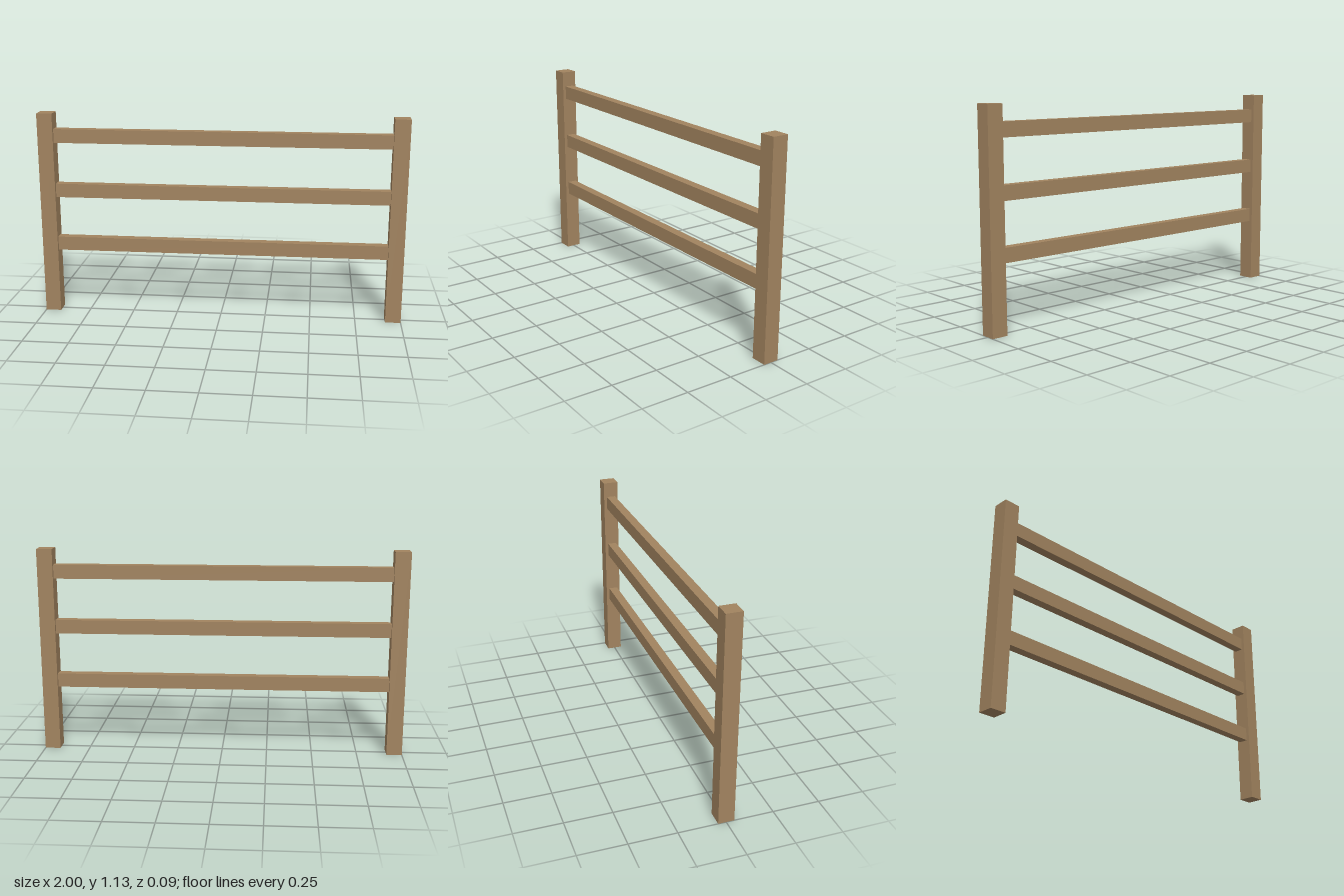
import * as THREE from 'three';

const POST = 0.085;
const POST_HEIGHT = 1.13;

export function createModel() {
  const fence = new THREE.Group();
  fence.name = 'fence';
  const wood = new THREE.MeshStandardMaterial({ color: 0xa1835f });

  const addBeam = (name, size, x, y) => {
    const beam = new THREE.Mesh(new THREE.BoxGeometry(...size), wood);
    beam.name = name;
    beam.position.set(x, y, 0);
    fence.add(beam);
  };

  // Square end posts
  for (const [name, side] of [['leftPost', 1], ['rightPost', -1]]) {
    addBeam(name, [POST, POST_HEIGHT, POST], side * (1 - POST / 2), POST_HEIGHT / 2);
  }

  // Horizontal rails spanning between the posts
  const rails = [['bottomRail', 0.395], ['middleRail', 0.7], ['topRail', 1.005]];
  for (const [name, y] of rails) {
    addBeam(name, [2 - 2 * POST, 0.076, 0.05], 0, y);
  }

  return fence;
}
